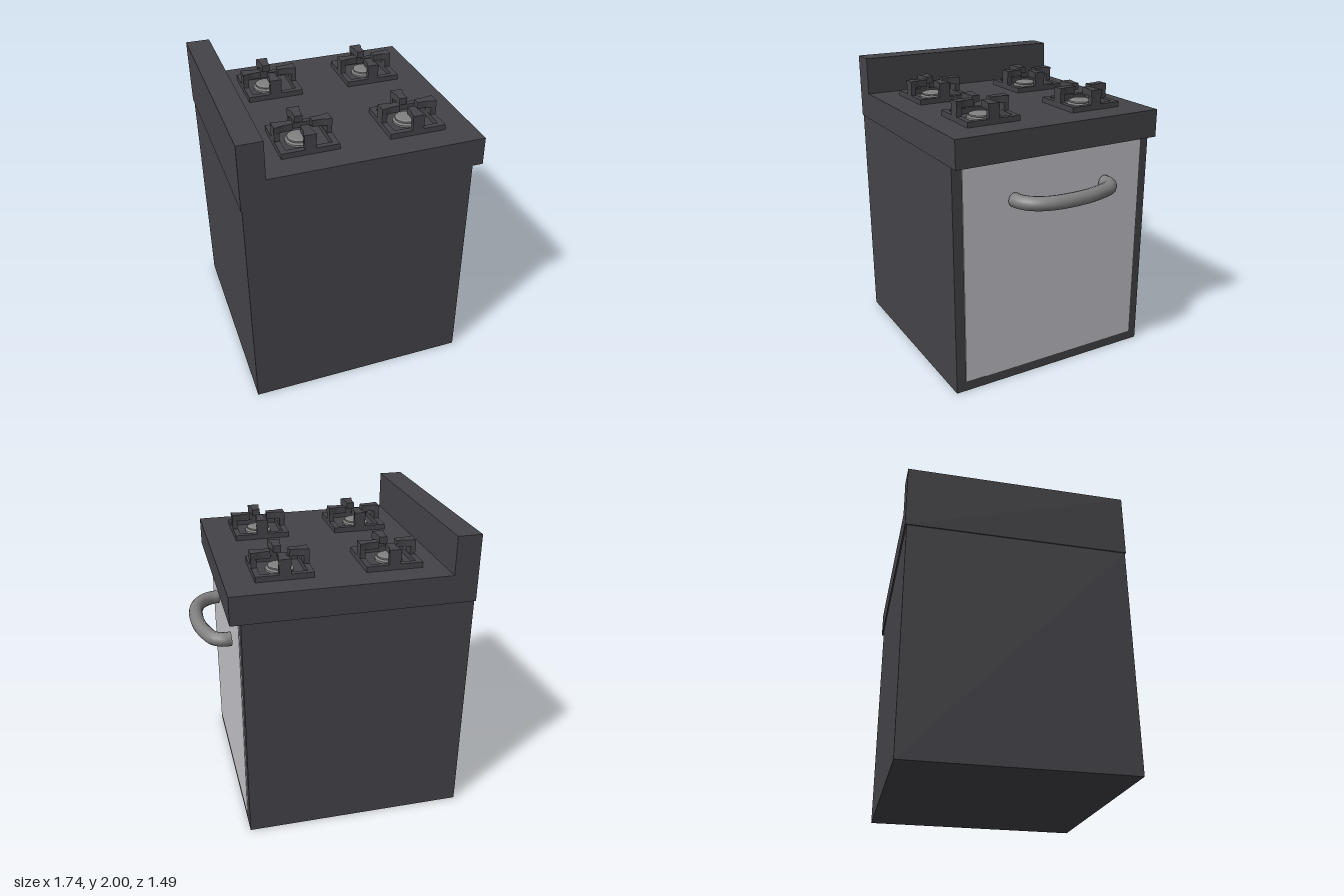
import * as THREE from 'three';

const paint = (name, color) => {
  const m = new THREE.MeshStandardMaterial({ color });
  m.name = name;
  return m;
};

export function createModel() {
  const stove = new THREE.Group();
  stove.name = 'stove';
  const enamel = paint('dark enamel', 0x444348);
  const doorPaint = paint('pale door', 0xc2c1c7);
  const metal = paint('grey metal', 0x808080);

  const add = (parent, name, geometry, material) => {
    const mesh = new THREE.Mesh(geometry, material);
    mesh.name = name;
    parent.add(mesh);
    return mesh;
  };
  // Box given by its limits on each axis
  const box = (parent, name, material, x0, x1, y0, y1, z0, z1) => {
    const mesh = add(parent, name, new THREE.BoxGeometry(x1 - x0, y1 - y0, z1 - z0), material);
    mesh.position.set((x0 + x1) / 2, (y0 + y1) / 2, (z0 + z1) / 2);
    return mesh;
  };

  // Cabinet, oven door and worktop with its upright splashback
  box(stove, 'cabinet', enamel, -0.863, 0.622, 0, 1.56, -0.735, 0.74);
  box(stove, 'ovenDoor', doorPaint, 0.621, 0.629, 0.07, 1.56, -0.668, 0.672);
  const profile = new THREE.Shape([
    [-0.87, 1.56], [0.69, 1.56], [0.69, 1.747], [-0.71, 1.747], [-0.71, 2], [-0.87, 2],
  ].map(([x, y]) => new THREE.Vector2(x, y)));
  const top = new THREE.ExtrudeGeometry(profile, { depth: 1.49, bevelEnabled: false });
  add(stove, 'worktop', top.translate(0, 0, -0.745), enamel);

  // Bowed door handle with rounded ends
  const path = [
    [0.64, -0.37], [0.69, -0.372], [0.75, -0.335], [0.785, -0.25], [0.818, -0.11],
    [0.818, 0.11], [0.785, 0.22], [0.74, 0.28], [0.69, 0.31], [0.64, 0.322],
  ].map(([x, z]) => new THREE.Vector3(x, 1.29, z));
  const handle = new THREE.Group();
  handle.name = 'handle';
  stove.add(handle);
  const curve = new THREE.CatmullRomCurve3(path);
  add(handle, 'handleBar', new THREE.TubeGeometry(curve, 28, 0.047, 12), metal);
  for (const end of [path[0], path[path.length - 1]]) {
    const cap = add(handle, 'handleEnd', new THREE.CircleGeometry(0.047, 12), metal);
    cap.position.copy(end);
    cap.rotation.y = -Math.PI / 2;
  }

  // Pan support: square frame and four hooked arms that narrow inwards
  const frameShape = new THREE.Shape();
  const square = (p, h) => p.moveTo(-h, -h).lineTo(h, -h).lineTo(h, h).lineTo(-h, h).closePath();
  square(frameShape, 0.185);
  const opening = new THREE.Path();
  square(opening, 0.148);
  frameShape.holes.push(opening);
  const frame = new THREE.ExtrudeGeometry(frameShape, { depth: 0.036, bevelEnabled: false });
  frame.rotateX(-Math.PI / 2);

  const armShape = new THREE.Shape();
  armShape.moveTo(0.185, -0.04).lineTo(0.185, 0.04).lineTo(0.15, 0.034)
    .quadraticCurveTo(0.13, 0.026, 0.1, 0.026).lineTo(0.06, 0.026)
    .lineTo(0.06, -0.026).lineTo(0.1, -0.026)
    .quadraticCurveTo(0.13, -0.026, 0.15, -0.034).closePath();
  const arm = new THREE.ExtrudeGeometry(armShape, { depth: 0.045, bevelEnabled: false, curveSegments: 4 });
  arm.rotateX(-Math.PI / 2).translate(0, 0.088, 0);

  // Stepped burner with a low cap
  const burner = new THREE.LatheGeometry([
    [0.09, 0], [0.09, 0.012], [0.062, 0.018], [0.062, 0.022], [0.076, 0.022], [0.076, 0.032], [0.06, 0.038], [0, 0.04],
  ].map(([r, y]) => new THREE.Vector2(r, y)), 16).toNonIndexed();
  burner.computeVertexNormals();

  for (const x of [-0.385, 0.315]) {
    for (const z of [-0.385, 0.38]) {
      const hob = new THREE.Group();
      hob.name = 'hob';
      hob.position.set(x, 1.747, z);
      stove.add(hob);
      add(hob, 'grateFrame', frame, enamel);
      add(hob, 'burner', burner, metal).position.x = x < 0 ? -0.018 : 0;
      for (let i = 0; i < 4; i++) {
        const support = new THREE.Group();
        support.name = 'grateArm';
        support.rotation.y = i * Math.PI / 2;
        hob.add(support);
        add(support, 'armTop', arm, enamel);
        box(support, 'armPost', enamel, 0.15, 0.185, 0, 0.09, -0.037, 0.037);
      }
    }
  }
  return stove;
}
